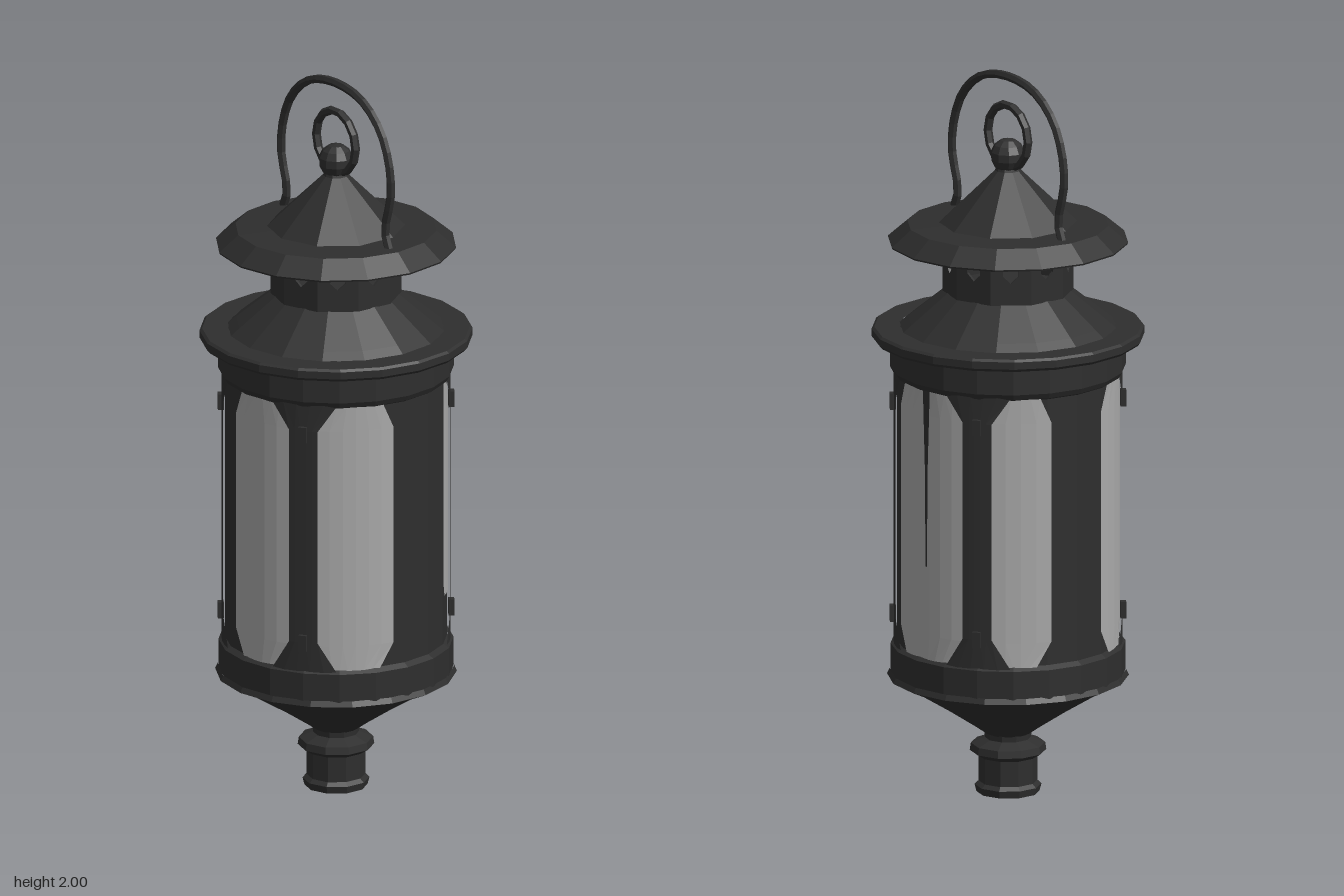
import * as THREE from 'three';

const iron = new THREE.MeshStandardMaterial({ color: 0x2e2e2e, flatShading: true });
iron.name = 'blackened iron';
const glass = new THREE.MeshStandardMaterial({ color: 0xaaaaaa, flatShading: true });
glass.name = 'grey glass';

const V2 = (p) => new THREE.Vector2(p[0], p[1]);

export function createModel() {
  const model = new THREE.Group();
  model.name = 'lantern';

  function add(name, geometry, material = iron, parent = model) {
    const mesh = new THREE.Mesh(geometry, material);
    mesh.name = name;
    parent.add(mesh);
    return mesh;
  }
  const lathe = (name, profile, sides) => add(name, new THREE.LatheGeometry(profile.map(V2), sides));

  // Curved plate wrapped on a cylinder; rows are [y, start angle, end angle] in degrees from +z
  function wrap(radius, rows) {
    const span = Math.max(...rows.map((r) => r[2] - r[1]));
    const n = Math.max(2, Math.ceil(span / 8));
    const pos = [], index = [];
    rows.forEach(([y, a, b], j) => {
      for (let i = 0; i <= n; i++) {
        const t = THREE.MathUtils.degToRad(a + (b - a) * i / n);
        pos.push(radius * Math.sin(t), y, radius * Math.cos(t));
        if (j > 0 && i < n) {
          const q = j * (n + 1) + i, p = q - n - 1;
          index.push(p, p + 1, q + 1, p, q + 1, q);
        }
      }
    });
    const g = new THREE.BufferGeometry();
    g.setAttribute('position', new THREE.Float32BufferAttribute(pos, 3));
    g.setIndex(index);
    g.computeVertexNormals();
    return g;
  }

  // Foot, collar and flared bowl
  lathe('foot', [[0, 0], [0.085, 0], [0.09, 0.02], [0.079, 0.03], [0.079, 0.1], [0.103, 0.115],
    [0.1, 0.135], [0.062, 0.15], [0.065, 0.185]], 10);
  lathe('bowl', [[0.055, 0.16], [0.09, 0.185], [0.165, 0.235], [0.27, 0.3], [0.325, 0.325],
    [0.318, 0.34]], 18);
  lathe('lowerBand', [[0.316, 0.335], [0.316, 0.415], [0.3, 0.425]], 20);

  // Dark liner behind the panes
  lathe('liner', [[0.298, 0.4], [0.298, 1.19]], 20);

  // Panes, with angled corners
  const panes = [[-10.5, 28], [42, 83], [159, 208], [222, 254], [287, 318]];
  for (const [a, b] of panes) {
    add('pane', wrap(0.302, [[0.42, a + 8, b - 8], [0.49, a, b], [1.1, a, b], [1.17, a + 6, b - 6]]), glass);
  }
  add('shortPane', wrap(0.302, [[0.56, 127, 137], [0.6, 125, 138], [1.1, 125, 138], [1.17, 125, 131]]), glass);

  // Narrow dark streak on the rear pane
  add('paneStreak', wrap(0.304, [[0.68, 184.5, 185.5], [0.95, 184, 186], [1.17, 182.5, 187.5]]));

  // Four posts with splayed ends and small catches
  for (const a of [35.5, 144.5, 215.5, 324.5]) {
    const post = new THREE.Group();
    post.name = 'post';
    model.add(post);
    add('postPlate', wrap(0.308, [[0.41, a - 18, a + 18], [0.5, a - 7.5, a + 7.5],
      [1.1, a - 7.5, a + 7.5], [1.18, a - 18, a + 18]]), iron, post);
    for (const y of [0.5, 1.09]) {
      const t = THREE.MathUtils.degToRad(a);
      const clip = add('catch', new THREE.BoxGeometry(0.022, 0.045, 0.016), iron, post);
      clip.position.set(0.31 * Math.sin(t), y, 0.31 * Math.cos(t));
      clip.rotation.y = t;
    }
  }

  // Upper band, wide rim and shoulder roof
  lathe('upperBand', [[0.3, 1.165], [0.309, 1.17], [0.317, 1.185], [0.317, 1.265]], 20);
  lathe('rim', [[0.3, 1.262], [0.36, 1.262], [0.367, 1.27], [0.367, 1.29], [0.36, 1.296], [0.29, 1.296]], 20);
  lathe('shoulder', [[0.3, 1.29], [0.27, 1.315], [0.165, 1.4], [0, 1.402]], 16);

  // Pierced ten-sided neck
  const half = 0.168 * Math.tan(Math.PI / 10);
  const panel = new THREE.Shape([[-half, 1.395], [half, 1.395], [half, 1.535], [-half, 1.535]].map(V2));
  panel.holes.push(new THREE.Path([[0, 1.455], [-0.021, 1.475], [-0.021, 1.5], [0, 1.522],
    [0.021, 1.5], [0.021, 1.475]].map(V2)));
  const panelGeometry = new THREE.ExtrudeGeometry(panel, { depth: 0.008, bevelEnabled: false });
  panelGeometry.translate(0, 0, 0.16);
  for (let i = 0; i < 10; i++) {
    add('neckPanel', panelGeometry).rotation.y = (i + 0.5) * Math.PI / 5;
  }

  // Cap brim and cone
  lathe('brim', [[0, 1.533], [0.323, 1.53], [0.325, 1.535], [0.272, 1.58], [0.17, 1.585]], 16);
  lathe('cone', [[0.19, 1.58], [0.035, 1.728], [0.028, 1.75]], 10);

  // Finial, ring and carrying handle
  add('finial', new THREE.SphereGeometry(0.048, 10, 7)).position.y = 1.768;
  add('ring', new THREE.TorusGeometry(0.086, 0.012, 6, 14)).position.y = 1.822;
  const side = [[0.232, 1.575], [0.215, 1.625], [0.24, 1.73], [0.234, 1.81], [0.195, 1.9], [0.115, 1.966]];
  const path = [...side, [0, 1.988], ...side.map(([x, y]) => [-x, y]).reverse()];
  const curve = new THREE.CatmullRomCurve3(path.map(([x, y]) => new THREE.Vector3(x, y, 0)));
  add('handle', new THREE.TubeGeometry(curve, 28, 0.012, 6));

  return model;
}
